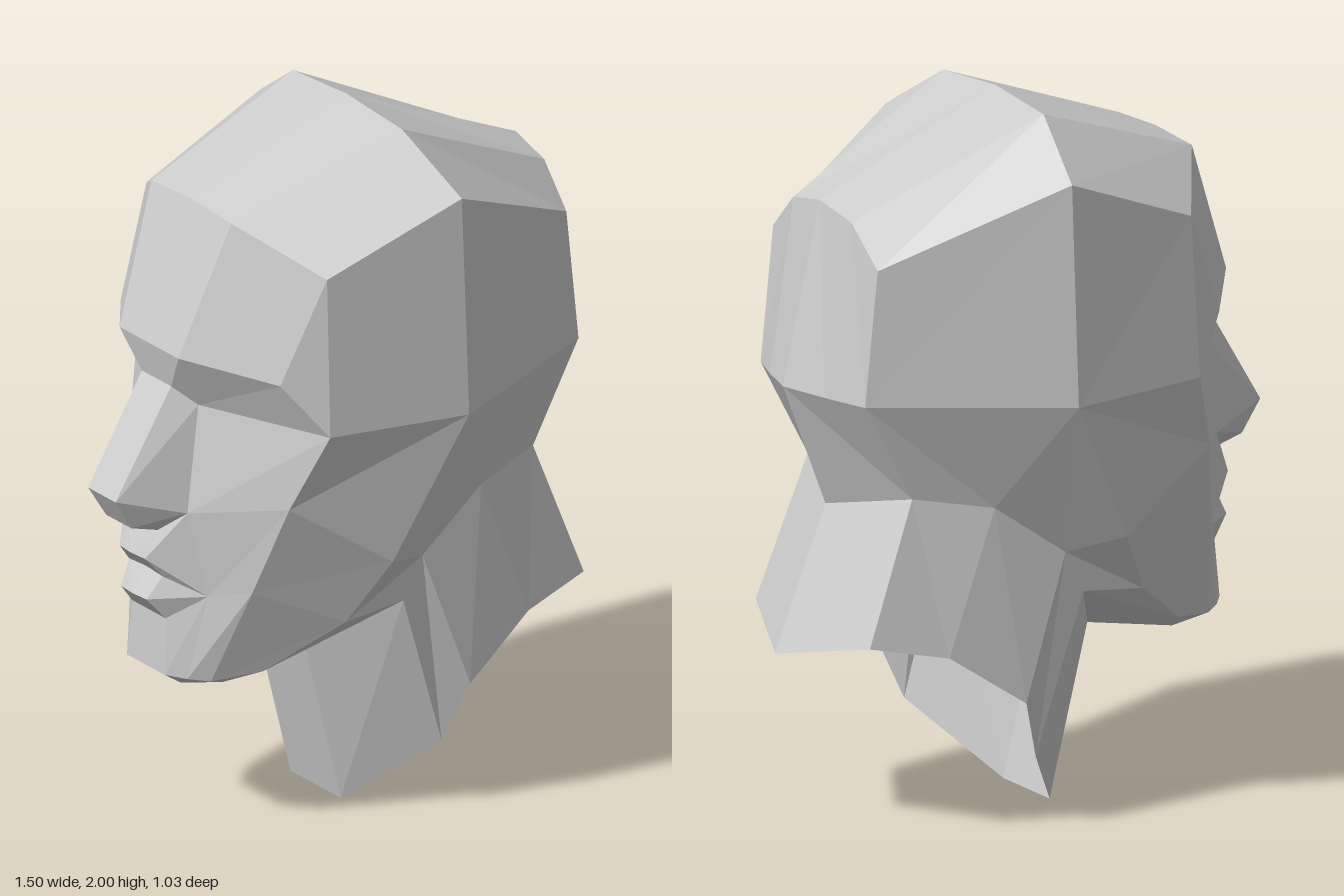
import * as THREE from 'three';

const material = new THREE.MeshStandardMaterial({
  color: 0xcccccc, flatShading: true, side: THREE.DoubleSide,
});

// Skins a grid of cross-sections and mirrors it across the z = 0 plane.
// Repeated points close a quad to a triangle.
function mirroredLoft(name, rows) {
  const positions = [];
  const tri = (a, b, c) => {
    const [A, B, C] = [a, b, c].map((p) => new THREE.Vector3(...p));
    if (B.clone().sub(A).cross(C.clone().sub(A)).length() < 1e-6) return;
    positions.push(...a, ...b, ...c);
    for (const [x, y, z] of [a, c, b]) positions.push(x, y, -z);
  };
  for (let i = 0; i < rows.length - 1; i++) {
    for (let j = 0; j < rows[i].length - 1; j++) {
      const a = rows[i][j], b = rows[i][j + 1];
      const c = rows[i + 1][j], d = rows[i + 1][j + 1];
      tri(a, c, b);
      tri(b, c, d);
    }
  }
  const geometry = new THREE.BufferGeometry();
  geometry.setAttribute('position', new THREE.Float32BufferAttribute(positions, 3));
  geometry.computeVertexNormals();
  const mesh = new THREE.Mesh(geometry, material);
  mesh.name = name;
  return mesh;
}

export function createModel() {
  const group = new THREE.Group();
  group.name = 'head';

  // Points shared between neighbouring parts
  const brow = [-0.6, 1.42, 0.14], browOuter = [-0.43, 1.38, 0.38];
  const eyeCorner = [-0.32, 1.23, 0.46], temple = [0.1, 1.22, 0.515];
  const backSide = [0.63, 1.24, 0.27], backMid = [0.725, 1.25, 0];
  const cheek = [-0.4, 1.01, 0.38], nostril = [-0.57, 0.96, 0.14];
  const jawUpper = [-0.1, 0.81, 0.44], jawCorner = [-0.2, 0.63, 0.36];
  const mouthCorner = [-0.53, 0.72, 0.18], cheekLow = [-0.46, 0.75, 0.29];
  const chinSide = [-0.52, 0.47, 0.18], jawEdge = [-0.39, 0.49, 0.24];
  const throatMid = [-0.17, 0.48, 0], throat = [-0.17, 0.48, 0.12];
  const neckJaw = [-0.01, 0.65, 0.36], neckEar = [0.05, 0.77, 0.365];
  const neckSide = [0.26, 0.92, 0.34];
  const napeSide = [0.48, 0.96, 0.27], napeMid = [0.59, 0.9, 0];
  const noseBase = [[-0.62, 0.9, 0], [-0.62, 0.9, 0.07], nostril, cheek];
  const chinCrease = [[-0.6, 0.64, 0], [-0.6, 0.64, 0.08], mouthCorner, cheekLow];

  // Skull: arches from the back over the crown to the brow
  group.add(mirroredLoft('cranium', [
    [backMid, [0.68, 1.245, 0.14], backSide, backSide],
    [[0.61, 1.76, 0], [0.6, 1.73, 0.15], [0.59, 1.62, 0.27], backSide],
    [[0.05, 2, 0], [0.055, 1.98, 0.26], [0.1, 1.84, 0.48], temple],
    [[-0.46, 1.81, 0], [-0.46, 1.8, 0.19], [-0.31, 1.68, 0.43], eyeCorner],
    [[-0.6, 1.42, 0], brow, browOuter, eyeCorner],
  ]));

  // Eye sockets and nose
  group.add(mirroredLoft('eyesAndNose', [
    [[-0.6, 1.42, 0], brow, brow, browOuter],
    [[-0.575, 1.31, 0], [-0.575, 1.31, 0.07], [-0.52, 1.26, 0.12], eyeCorner],
    [[-0.755, 1.01, 0], [-0.755, 1.01, 0.065], nostril, cheek],
    [[-0.7, 0.92, 0], [-0.7, 0.92, 0.06], nostril, cheek],
    noseBase,
  ]));

  // Lips drawn back to the mouth corners
  group.add(mirroredLoft('mouth', [
    noseBase,
    [[-0.66, 0.82, 0], [-0.655, 0.82, 0.06], mouthCorner, cheekLow],
    [[-0.61, 0.77, 0], [-0.61, 0.765, 0.08], mouthCorner, cheekLow],
    [[-0.655, 0.7, 0], [-0.65, 0.7, 0.06], mouthCorner, cheekLow],
    chinCrease,
  ]));

  // Chin and underside of the jaw
  group.add(mirroredLoft('chin', [
    chinCrease,
    [[-0.61, 0.48, 0], [-0.61, 0.48, 0.09], [-0.57, 0.475, 0.14], chinSide],
    [[-0.55, 0.44, 0], [-0.55, 0.44, 0.08], chinSide, chinSide],
    [[-0.44, 0.43, 0], [-0.44, 0.43, 0.12], jawEdge, jawEdge],
    [throatMid, throat, neckJaw, jawCorner],
  ]));

  // Cheeks from temple to jaw
  group.add(mirroredLoft('cheeks', [
    [eyeCorner, temple],
    [cheek, jawUpper],
    [cheekLow, jawCorner],
    [chinSide, jawEdge],
  ]));

  // Area behind the jaw, and the back of the skull down to the nape
  group.add(mirroredLoft('jawBack', [
    [jawUpper, temple, temple],
    [jawUpper, neckEar, neckSide],
    [jawCorner, neckJaw, neckJaw],
  ].map((row, i) => (i === 2 ? [jawCorner, neckJaw, neckSide] : row)).slice(0, 2)));
  group.add(mirroredLoft('jawHinge', [[jawUpper, neckEar], [jawCorner, neckJaw]]));
  group.add(mirroredLoft('skullBase', [
    [temple, backSide, backMid],
    [neckSide, napeSide, napeMid],
  ]));

  // Open neck with a slanted lower rim
  group.add(mirroredLoft('neck', [
    [throatMid, throat, neckJaw, neckEar, neckSide, napeSide, napeMid],
    [[-0.05, 0, 0], [-0.05, 0, 0.12], [0.13, 0.2, 0.34], [0.19, 0.37, 0.39],
      [0.41, 0.52, 0.35], [0.63, 0.565, 0.295], [0.75, 0.5, 0]],
  ]));

  return group;
}
